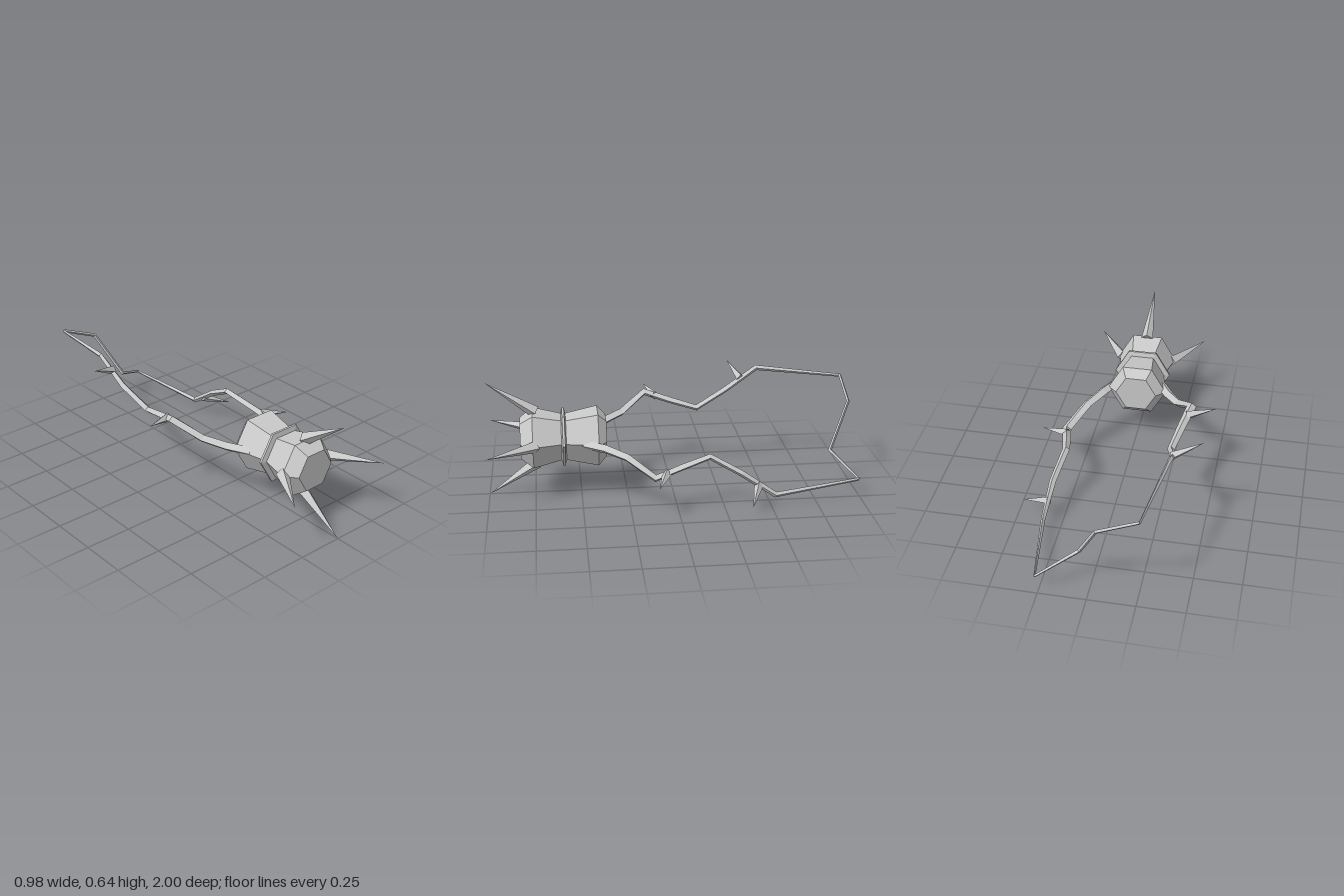
import * as THREE from 'three';

const V = (x, y, z) => new THREE.Vector3(x, y, z);

// Four-sided bar with a diamond section swept along [x, y, z, halfWidth, halfHeight] stations
function sweep(stations, up) {
  const pts = stations.map(s => V(s[0], s[1], s[2]));
  const n = pts.length;
  const rings = stations.map((s, i) => {
    const a = pts[Math.max(i - 1, 0)], b = pts[i], c = pts[Math.min(i + 1, n - 1)];
    const tangent = V(0, 0, 0);
    if (i > 0) tangent.add(b.clone().sub(a).normalize());
    if (i < n - 1) tangent.add(c.clone().sub(b).normalize());
    tangent.normalize();
    const side = up.clone().cross(tangent).normalize();
    const top = tangent.clone().cross(side);
    return [[1, 0], [0, 1], [-1, 0], [0, -1]].map(([u, v]) =>
      b.clone().addScaledVector(side, u * s[3]).addScaledVector(top, v * s[4]));
  });
  const pos = [];
  const tri = (...p) => p.forEach(q => pos.push(q.x, q.y, q.z));
  for (let i = 0; i < n - 1; i++) {
    for (let k = 0; k < 4; k++) {
      const a = rings[i][k], b = rings[i][(k + 1) % 4];
      const c = rings[i + 1][(k + 1) % 4], d = rings[i + 1][k];
      tri(a, b, c);
      tri(a, c, d);
    }
  }
  const s = rings[0], e = rings[n - 1];
  tri(s[0], s[2], s[1]);
  tri(s[0], s[3], s[2]);
  tri(e[0], e[1], e[2]);
  tri(e[0], e[2], e[3]);
  const g = new THREE.BufferGeometry();
  g.setAttribute('position', new THREE.Float32BufferAttribute(pos, 3));
  g.computeVertexNormals();
  return g;
}

// Hexagonal solid of revolution along z from [radius, z] pairs
function hexLathe(profile) {
  const g = new THREE.LatheGeometry(profile.map(([r, z]) => new THREE.Vector2(r, z)), 6, Math.PI / 6);
  return g.rotateX(Math.PI / 2);
}

export function createModel() {
  const model = new THREE.Group();
  const core = new THREE.Group();
  core.name = 'core';
  core.position.y = 0.318;
  model.add(core);

  const grey = new THREE.MeshStandardMaterial({ color: 0xcacaca });
  grey.name = 'plain grey';
  grey.flatShading = true;

  const add = (parent, name, geometry) => {
    const mesh = new THREE.Mesh(geometry, grey);
    mesh.name = name;
    parent.add(mesh);
    return mesh;
  };

  // Spike from a base point to a tip
  const spike = (parent, name, base, tip, radius) => {
    const dir = tip.clone().sub(base);
    const g = new THREE.ConeGeometry(radius, dir.length(), 4).translate(0, dir.length() / 2, 0);
    const mesh = add(parent, name, g);
    // Keep one ridge of the spike facing forward
    const y = dir.normalize();
    const x = y.clone().cross(V(0, 0, 1)).normalize();
    mesh.quaternion.setFromRotationMatrix(new THREE.Matrix4().makeBasis(x, y, x.clone().cross(y)));
    mesh.position.copy(base);
    return mesh;
  };

  // Waisted hexagonal body with bevelled ends
  add(core, 'body', hexLathe([
    [0, 0.36], [0.115, 0.36], [0.166, 0.405], [0.126, 0.59],
    [0.168, 0.755], [0.114, 0.822], [0, 0.822],
  ]));
  // Thin collar round the waist
  add(core, 'waistRing', hexLathe([[0.12, 0.575], [0.16, 0.584], [0.16, 0.596], [0.12, 0.605]]));

  // Four spikes flaring forward from the front rim
  for (let i = 0; i < 4; i++) {
    const a = i * Math.PI / 2, c = Math.cos(a), s = Math.sin(a);
    spike(core, 'frontSpike', V(0.146 * c, 0.146 * s, 0.738), V(0.315 * c, 0.318 * s, 1), 0.034);
  }

  // Two crooked arms, the second turned half way round the long axis
  const armPath = [
    [0.125, -0.005, 0.48, 0.03, 0.026],
    [0.19, -0.012, 0.37, 0.03, 0.024],
    [0.262, -0.038, 0.26, 0.028, 0.022],
    [0.352, -0.124, 0.122, 0.027, 0.02],
    [0.317, -0.08, -0.025, 0.024, 0.018],
    [0.286, -0.04, -0.172, 0.02, 0.017],
    [0.322, -0.13, -0.34, 0.019, 0.017],
    [0.336, -0.252, -0.52, 0.012, 0.016],
    [0.262, -0.213, -0.99, 0.005, 0.009],
  ];
  for (const turn of [0, Math.PI]) {
    const arm = new THREE.Group();
    arm.name = turn ? 'rightArm' : 'leftArm';
    arm.rotation.z = turn;
    add(arm, 'armBar', sweep(armPath, V(0, 1, 0)));
    spike(arm, 'armSpike', V(0.335, -0.105, 0.06), V(0.49, -0.129, 0.115), 0.027);
    spike(arm, 'armSpike', V(0.325, -0.195, -0.43), V(0.483, -0.258, -0.373), 0.025);
    core.add(arm);
  }

  // Zigzag link joining the arm ends
  add(core, 'backLink', sweep([
    [-0.262, 0.217, -0.991, 0.009, 0.008],
    [-0.05, 0.127, -0.991, 0.011, 0.009],
    [0.06, -0.116, -0.873, 0.011, 0.011],
    [0.262, -0.213, -0.991, 0.007, 0.007],
  ], V(0, 0, 1)));

  return model;
}
